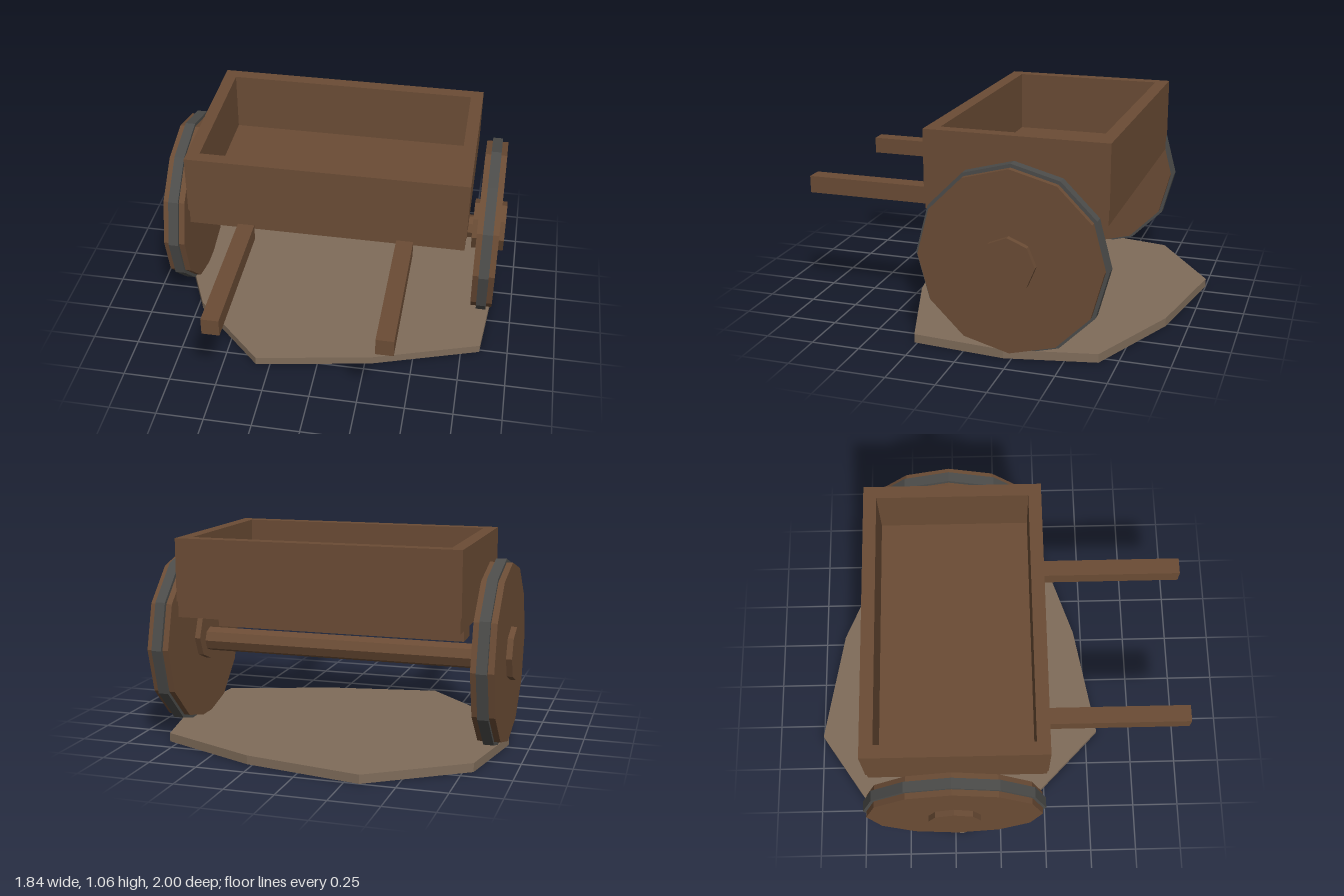
import * as THREE from 'three';

const wood = new THREE.MeshStandardMaterial({ color: 0x6b4c35, flatShading: true });
wood.name = 'brown wood';
const iron = new THREE.MeshStandardMaterial({ color: 0x4c4c4a, flatShading: true });
iron.name = 'dark iron';
const earth = new THREE.MeshStandardMaterial({ color: 0x7f6c5a, flatShading: true });
earth.name = 'packed earth';

const AXLE_Z = -0.24;
const WHEEL_Y = 0.49;

function add(parent, name, geometry, material, x = 0, y = 0, z = 0) {
  const mesh = new THREE.Mesh(geometry, material);
  mesh.name = name;
  mesh.position.set(x, y, z);
  parent.add(mesh);
  return mesh;
}

// Faceted cylinder lying along x, with one corner pointing up
function roller(radius, width, sides) {
  return new THREE.CylinderGeometry(radius, radius, width, sides)
    .rotateY(Math.PI / 2)
    .rotateZ(Math.PI / 2);
}

// Outline in plan (x, z) raised to a given height
function slab(shape, height) {
  return new THREE.ExtrudeGeometry(shape, { depth: height, bevelEnabled: false }).rotateX(-Math.PI / 2);
}

function rectangle(Type, w, d) {
  return new Type([[-w, -d], [w, -d], [w, d], [-w, d]].map(([x, y]) => new THREE.Vector2(x, y)));
}

export function createModel() {
  const cart = new THREE.Group();
  cart.name = 'handcart';

  // Irregular patch of ground
  const outline = [
    [-0.325, -1], [0.28, -0.887], [0.8, -0.66], [0.89, -0.21], [0.85, 0.265],
    [0.28, 0.455], [-0.325, 0.562], [-0.72, 0.17], [-0.89, -0.21], [-0.8, -0.68],
  ];
  const patch = new THREE.Shape(outline.map(([x, z]) => new THREE.Vector2(x, -z)));
  add(cart, 'ground', slab(patch, 0.045), earth);

  // Open cargo box: floor and a ring of walls
  add(cart, 'boxFloor', new THREE.BoxGeometry(1.445, 0.08, 0.915), wood, 0, 0.705, -0.218);
  const ring = rectangle(THREE.Shape, 0.728, 0.4625);
  ring.holes.push(rectangle(THREE.Path, 0.662, 0.395));
  add(cart, 'boxWalls', slab(ring, 0.32), wood, 0, 0.745, -0.218);

  // Beam under the box and the axle
  add(cart, 'bolster', new THREE.BoxGeometry(1.33, 0.116, 0.14), wood, 0, 0.607, AXLE_Z);
  add(cart, 'axle', roller(0.064, 1.56, 8), wood, 0, 0.464, AXLE_Z - 0.005);

  for (const side of [-1, 1]) {
    // Pulling shafts
    add(cart, 'shaft', new THREE.BoxGeometry(0.088, 0.09, 0.762), wood, side * 0.418 - 0.004, 0.641, 0.619);

    // Solid wheel with iron tyre and hub
    const wheel = new THREE.Group();
    wheel.name = 'wheel';
    wheel.position.set(side * 0.833, WHEEL_Y, AXLE_Z);
    add(wheel, 'wheelDisc', roller(0.46, 0.115, 12), wood);
    add(wheel, 'tyre', roller(0.478, 0.053, 12), iron);
    add(wheel, 'hub', roller(0.137, 0.175, 8), wood);
    cart.add(wheel);
  }
  return cart;
}
